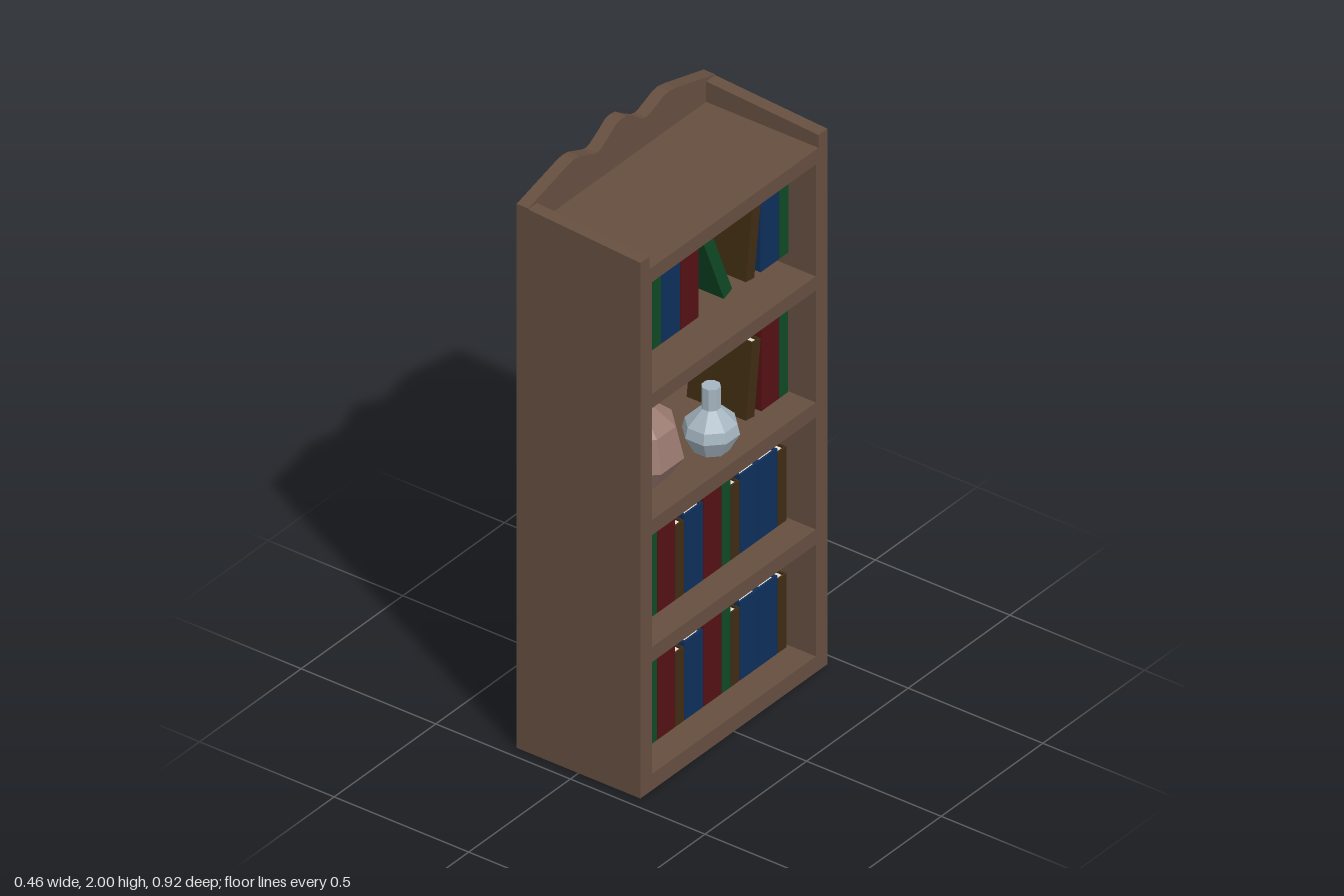
import * as THREE from 'three';

const material = (color) => new THREE.MeshStandardMaterial({ color, flatShading: true });
const wood = material(0x664f40);
const paper = material(0xe6e2d8);
const clay = material(0x9a7a70);
const glass = material(0xa5b5c0);

// Book kinds: thickness, height, cover
const KINDS = {
  blue: { t: 0.091, h: 0.275, mat: material(0x0f2f5c) },
  red: { t: 0.087, h: 0.295, mat: material(0x541113) },
  green: { t: 0.043, h: 0.32, mat: material(0x0f4a26) },
  brown: { t: 0.042, h: 0.26, mat: material(0x402c12) },
};
const BOOK_DEPTH = 0.22, BOOK_FRONT = 0.13;

function add(parent, name, geometry, mat, x = 0, y = 0, z = 0) {
  const mesh = new THREE.Mesh(geometry, mat);
  mesh.name = name;
  mesh.position.set(x, y, z);
  parent.add(mesh);
  return mesh;
}

// Extrudes a (z, y) outline along x, from x0 to x1
function extrudeX(shape, x0, x1) {
  const g = new THREE.ExtrudeGeometry(shape, { depth: x1 - x0, bevelEnabled: false });
  return g.rotateY(Math.PI / 2).translate(x0, 0, 0);
}

// A book centred on y and z, with its spine towards the open side
function addBook(parent, kind, y, z, tilt = 0) {
  const { t, h, mat } = KINDS[kind];
  const board = Math.min(0.008, t * 0.15);
  const book = new THREE.Group();
  book.name = kind + 'Book';
  const d = BOOK_DEPTH;
  for (const s of [-1, 1]) {
    add(book, 'cover', new THREE.BoxGeometry(d, h, board), mat, 0, 0, s * (t - board) / 2);
  }
  add(book, 'spine', new THREE.BoxGeometry(board, h, t - 2 * board), mat, (d - board) / 2, 0, 0);
  add(book, 'pages', new THREE.BoxGeometry(d - 0.018, h - 0.016, t - 2 * board), paper, 0, 0, 0);
  book.position.set(BOOK_FRONT - d / 2, y, z);
  book.rotation.x = tilt;
  parent.add(book);
}

// Upright books side by side, from z towards -z
function addRow(parent, kinds, floor, z) {
  for (const kind of kinds) {
    const { t, h } = KINDS[kind];
    addBook(parent, kind, floor + h / 2, z - t / 2);
    z -= t + 0.0025;
  }
}

// Eight-sided faceted vessel
function addVessel(parent, name, profile, mat, x, y, z) {
  const pts = profile.map(([r, h]) => new THREE.Vector2(r, h));
  const vessel = add(parent, name, new THREE.LatheGeometry(pts, 8), mat, x, y, z);
  vessel.rotation.y = Math.PI / 8;
}

export function createModel() {
  const model = new THREE.Group();
  model.name = 'bookcase';
  const W = 0.46, BACK = -0.23, INNER = -0.187, FRONT = 0.23, TOP = 1.845;
  const floors = [0.057, 0.505, 0.953, 1.398];

  // Case with four open compartments
  const frame = new THREE.Shape([[-W, 0], [W, 0], [W, TOP], [-W, TOP]].map(p => new THREE.Vector2(...p)));
  for (const y of floors) {
    frame.holes.push(new THREE.Path([[-0.403, y], [-0.403, y + 0.395], [0.403, y + 0.395], [0.403, y]]
      .map(p => new THREE.Vector2(...p))));
  }
  add(model, 'shelfFrame', extrudeX(frame, INNER, FRONT), wood);

  // Back panel with its scalloped crest
  const half = [[W, 1.92], [0.265, 1.972], [0.235, 1.977], [0.205, 1.973], [0.14, 1.947],
    [0.122, 1.943], [0.102, 1.947], [0.06, 1.972], [0.025, 1.996]];
  const crest = [[-W, 0], [W, 0], ...half, [0, 2], ...half.map(([z, y]) => [-z, y]).reverse()];
  add(model, 'backPanel', extrudeX(new THREE.Shape(crest.map(p => new THREE.Vector2(...p))), BACK, INNER), wood);

  // Sloping rims beside the recessed top
  const rim = new THREE.Shape([[INNER, TOP], [FRONT, TOP], [FRONT, 1.89], [INNER, 1.917]]
    .map(p => new THREE.Vector2(...p)));
  for (const z of [-W, 0.416]) {
    add(model, z > 0 ? 'leftRim' : 'rightRim',
      new THREE.ExtrudeGeometry(rim, { depth: 0.044, bevelEnabled: false }), wood, 0, 0, z);
  }

  // Two full lower rows
  const fullRow = ['blue', 'green', 'red', 'brown', 'blue', 'red', 'green', 'brown', 'blue', 'blue', 'brown'];
  for (const y of floors.slice(0, 2)) addRow(model, fullRow, y, 0.383);

  // Third shelf: vessels and a few books
  const y3 = floors[2];
  addRow(model, ['red', 'green'], y3, -0.267);
  addBook(model, 'brown', 1.085, -0.228, -0.125);
  addVessel(model, 'clayVase', [[0, 0], [0.094, 0], [0.148, 0.08], [0.122, 0.188], [0.034, 0.262],
    [0.03, 0.262], [0.03, 0.295], [0, 0.295]], clay, 0.04, y3, 0.23);
  addVessel(model, 'glassBottle', [[0, 0], [0.057, 0], [0.089, 0.06], [0.081, 0.095], [0.03, 0.145],
    [0.03, 0.22], [0, 0.22]], glass, 0.13, y3, -0.02);

  // Top shelf books
  const y4 = 1.445;
  addRow(model, ['brown', 'red', 'green', 'blue', 'red'], y4, 0.403);
  addRow(model, ['blue', 'green'], y4, -0.264);
  addBook(model, 'green', 1.6, -0.043, 0.39);
  addBook(model, 'brown', 1.574, -0.228, -0.125);
  return model;
}
